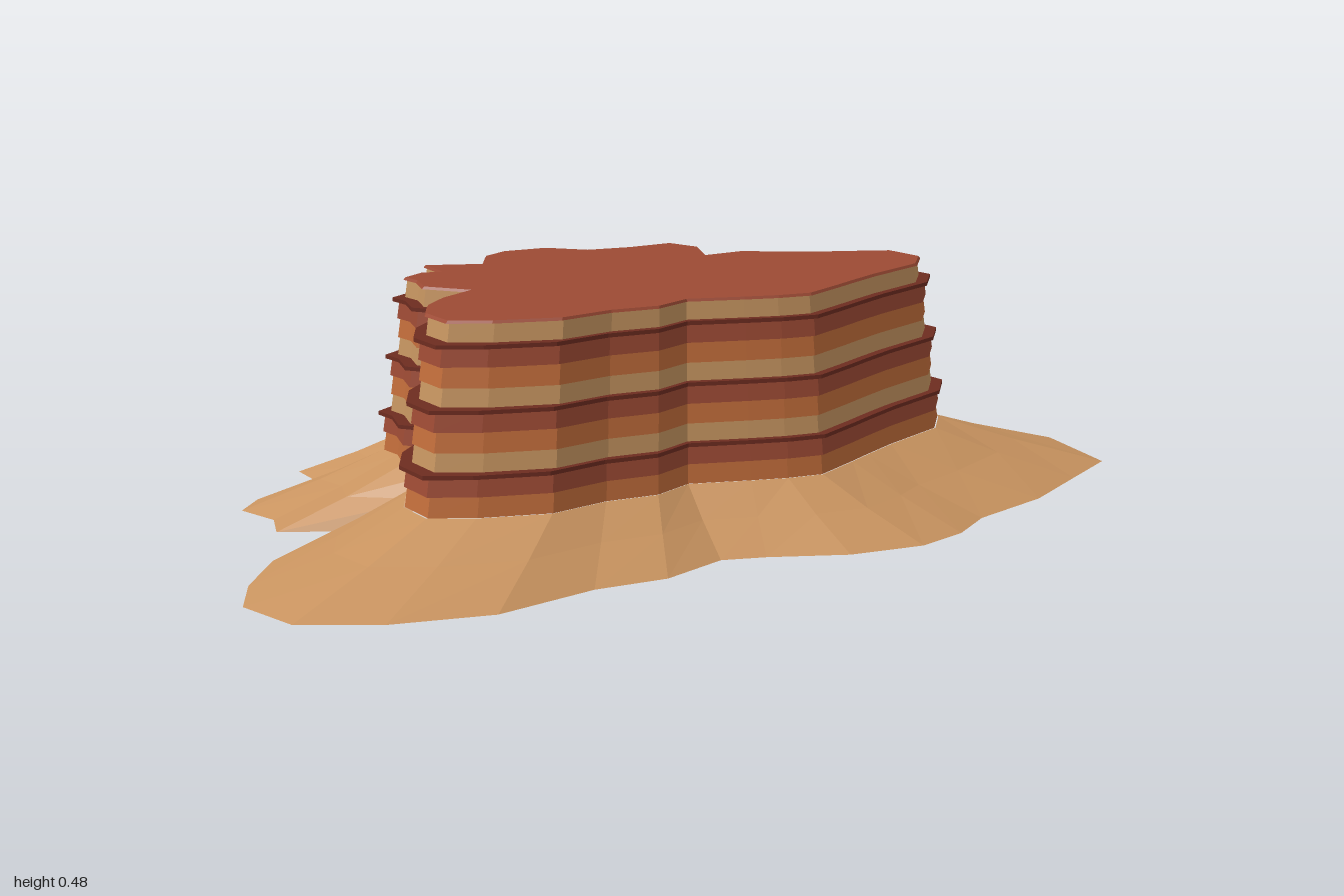
import * as THREE from 'three';

const mat = (name, color) => Object.assign(new THREE.MeshStandardMaterial({ color }), { name });

// Plateau outline as x, z pairs, running from +x towards +z
const RIM = [
  .575, .04, .525, .12, .385, .2, .31, .25, .26, .285, .17, .345, .1, .345, .03, .335, -.085, .315,
  -.16, .36, -.26, .365, -.37, .4, -.5, .38, -.58, .35, -.6, .27, -.575, .19, -.53, .13, -.455, .07,
  -.535, 0, -.53, -.07, -.545, -.115, -.5, -.155, -.455, -.15, -.47, -.24, -.35, -.21, -.315, -.305,
  -.26, -.35, -.16, -.36, -.08, -.3, .02, -.3, .125, -.32, .165, -.25, .14, -.14, .235, -.16,
  .31, -.125, .38, -.095, .46, -.075, .55, -.05,
];
// Foot of the scree slope, one point per plateau point
const FOOT = [
  .995, .165, .86, .26, .705, .37, .52, .45, .43, .525, .32, .57, .16, .57, 0, .525, -.09, .51,
  -.225, .575, -.375, .585, -.58, .65, -.78, .63, -.935, .57, -1, .445, -.97, .33, -.9, .2, -.64, .095,
  -.86, .02, -.85, -.065, -.9, -.155, -.855, -.225, -.695, -.255, -.73, -.41, -.52, -.385, -.48, -.515,
  -.385, -.625, -.22, -.655, -.055, -.525, .085, -.535, .25, -.565, .315, -.43, .235, -.2, .43, -.28,
  .51, -.235, .63, -.185, .91, -.15, .995, -.06,
];
const pairs = (a) => Array.from({ length: a.length / 2 }, (_, i) => [a[2 * i], a[2 * i + 1]]);
const rim = pairs(RIM), foot = pairs(FOOT);

// A ring at height y: the plateau outline scaled by s
const ring = (s, y) => rim.map(([x, z]) => new THREE.Vector3(x * s, y, z * s));

// Flat-faced skin through a stack of rings, listed from bottom to top
function skin(rings) {
  const pos = [];
  for (let k = 0; k + 1 < rings.length; k++) {
    const lo = rings[k], hi = rings[k + 1], n = lo.length;
    for (let i = 0; i < n; i++) {
      const j = (i + 1) % n;
      for (const v of [lo[i], hi[i], lo[j], lo[j], hi[i], hi[j]]) pos.push(v.x, v.y, v.z);
    }
  }
  const g = new THREE.BufferGeometry();
  g.setAttribute('position', new THREE.Float32BufferAttribute(pos, 3));
  g.computeVertexNormals();
  return g;
}

// Flat lid filling an outline, facing up (1) or down (-1)
function lid(points, facing, y) {
  const shape = new THREE.Shape(points.map(([x, z]) => new THREE.Vector2(x, -facing * z)));
  return new THREE.ShapeGeometry(shape).rotateX(-facing * Math.PI / 2).translate(0, y, 0);
}

export function createModel() {
  const group = new THREE.Group();
  const scree = mat('scree sand', 0xc8935f);
  const tan = mat('tan rock', 0xc4935f);
  const orange = mat('orange rock', 0xc06c3a);
  const red = mat('red rock', 0x9c4a34);
  const dark = mat('dark ledge rock', 0x6e2c20);
  const add = (name, geometry, material) => {
    const mesh = new THREE.Mesh(geometry, material);
    mesh.name = name;
    group.add(mesh);
  };

  // Scree slope, slightly hollow, with its underside
  const base = 0.11, top = 0.48, step = 0.0405;
  const upper = ring(1.105, base);
  const lower = foot.map(([x, z]) => new THREE.Vector3(x, 0, z));
  const middle = upper.map((v, i) => v.clone().lerp(lower[i], 0.45).setY(0.056));
  add('screeSlope', skin([lower, middle, upper]), scree);
  add('underside', lid(foot, -1, 0), scree);

  // Cliff strata: orange, red and tan beds, each a little in or out of the taper
  const taper = (y) => 1.1 - 0.1 * (y - base) / (top - base);
  const beds = [['orangeBed', orange, 0], ['redBed', red, 0.012], ['tanBed', tan, -0.008]];
  for (let k = 0; k < 9; k++) {
    const [name, material, out] = beds[k % 3];
    const y0 = base + k * step, y1 = y0 + step;
    const s0 = taper(y0) + out, s1 = taper(y1) + out;
    add(name, skin([ring(0.9, y0), ring(s0, y0), ring(s1, y1), ring(0.9, y1)]), material);

    // Thin overhanging ledge on top of each red bed
    if (k % 3 === 1) {
      const s = taper(y1) + 0.038, a = y1 - 0.004, b = y1 + 0.004;
      add('ledge', skin([ring(0.9, a), ring(s, a), ring(s, b), ring(0.9, b)]), dark);
    }
  }

  // Cap rock and plateau
  const capY = base + 9 * step;
  add('capRockEdge', skin([ring(0.9, capY), ring(1.008, capY), ring(1, top)]), red);
  add('plateau', lid(rim, 1, top), red);
  return group;
}
